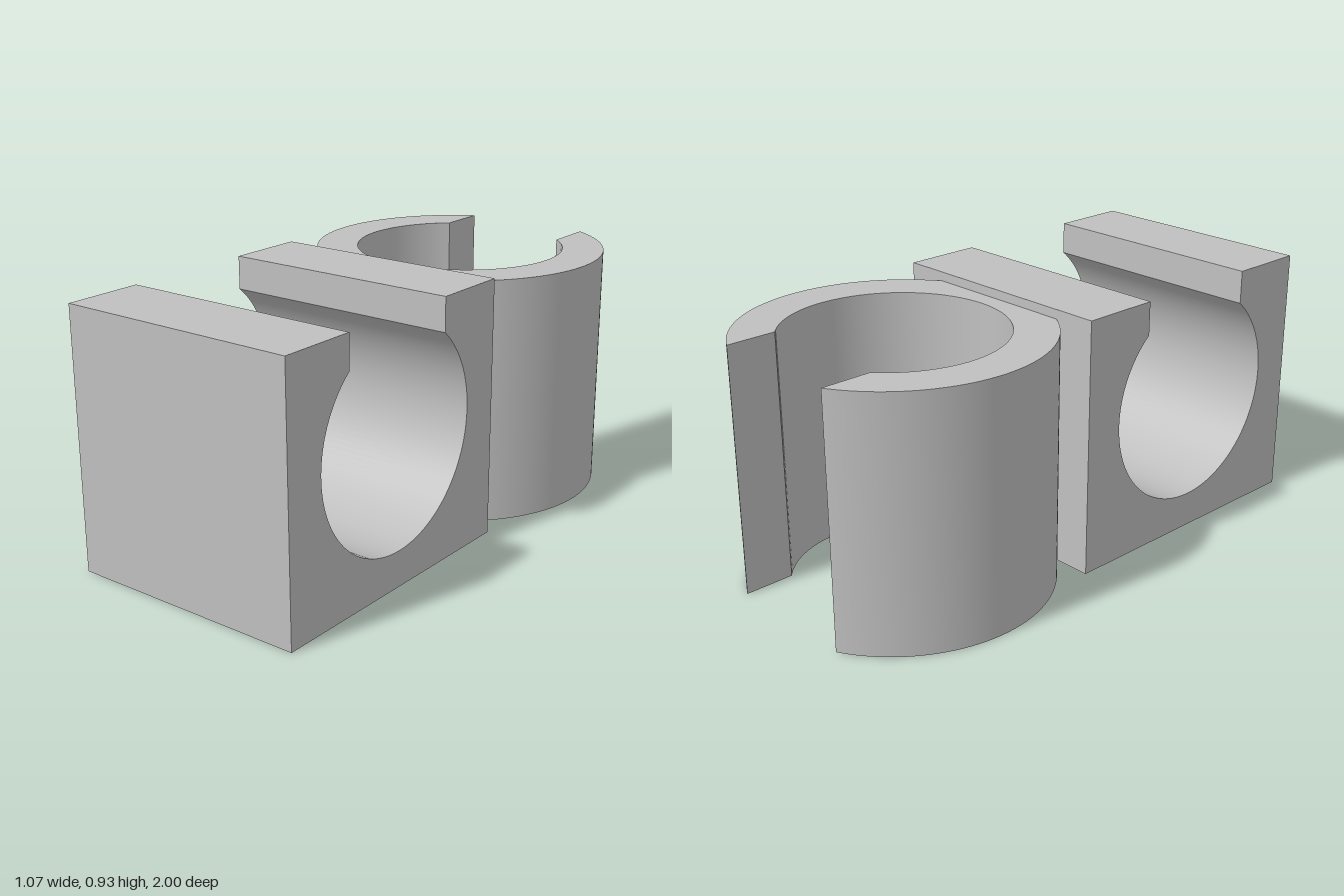
import * as THREE from 'three';
import { toCreasedNormals } from 'three/addons/utils/BufferGeometryUtils.js';

const BORE = 0.385; // radius of both bores
const SLOT = 0.248; // half width of both openings

// Extrude a profile, keeping curved walls smooth and edges sharp
function extrude(shape, depth) {
  const geometry = new THREE.ExtrudeGeometry(shape, { depth, bevelEnabled: false, curveSegments: 48 });
  return toCreasedNormals(geometry, 0.5);
}

// Cut the keyhole bore into an outline: down the left slot wall, around, up the right one
function addBore(shape, cx, cy, top) {
  const a = Math.acos(SLOT / BORE);
  shape.lineTo(cx - SLOT, top);
  shape.lineTo(cx - SLOT, cy + BORE * Math.sin(a));
  shape.absarc(cx, cy, BORE, Math.PI - a, Math.PI * 2 + a, false);
  shape.lineTo(cx + SLOT, top);
}

export function createModel() {
  const group = new THREE.Group();
  const grey = new THREE.MeshStandardMaterial({ color: 0xc0c0c0 });
  grey.name = 'light grey';

  // Block clip: side profile (z, y) extruded across x
  const width = 0.894, back = -0.07, height = 0.93;
  const block = new THREE.Shape();
  block.moveTo(1, height);
  block.lineTo(1, 0);
  block.lineTo(back, 0);
  block.lineTo(back, height);
  addBore(block, 0.465, 0.515, height);
  block.closePath();
  const blockGeometry = extrude(block, width);
  blockGeometry.rotateY(-Math.PI / 2).translate(width / 2, 0, 0);
  const blockClip = new THREE.Mesh(blockGeometry, grey);
  blockClip.name = 'blockClip';
  group.add(blockClip);

  // Ring clip: plan profile (x, -z) extruded upwards, trimmed flat against the block
  const R = 0.537, cy = 0.523;
  const tip = Math.acos(SLOT / R);
  const trim = Math.asin((-back - cy) / R);
  const ring = new THREE.Shape();
  ring.moveTo(SLOT, cy + R * Math.sin(tip));
  ring.absarc(0, cy, R, tip, trim, true);
  ring.absarc(0, cy, R, Math.PI - trim, Math.PI - tip, true);
  addBore(ring, 0, cy, cy + R * Math.sin(tip));
  ring.closePath();
  const ringGeometry = extrude(ring, 0.897);
  ringGeometry.rotateX(-Math.PI / 2);
  const ringClip = new THREE.Mesh(ringGeometry, grey);
  ringClip.name = 'ringClip';
  group.add(ringClip);

  return group;
}
